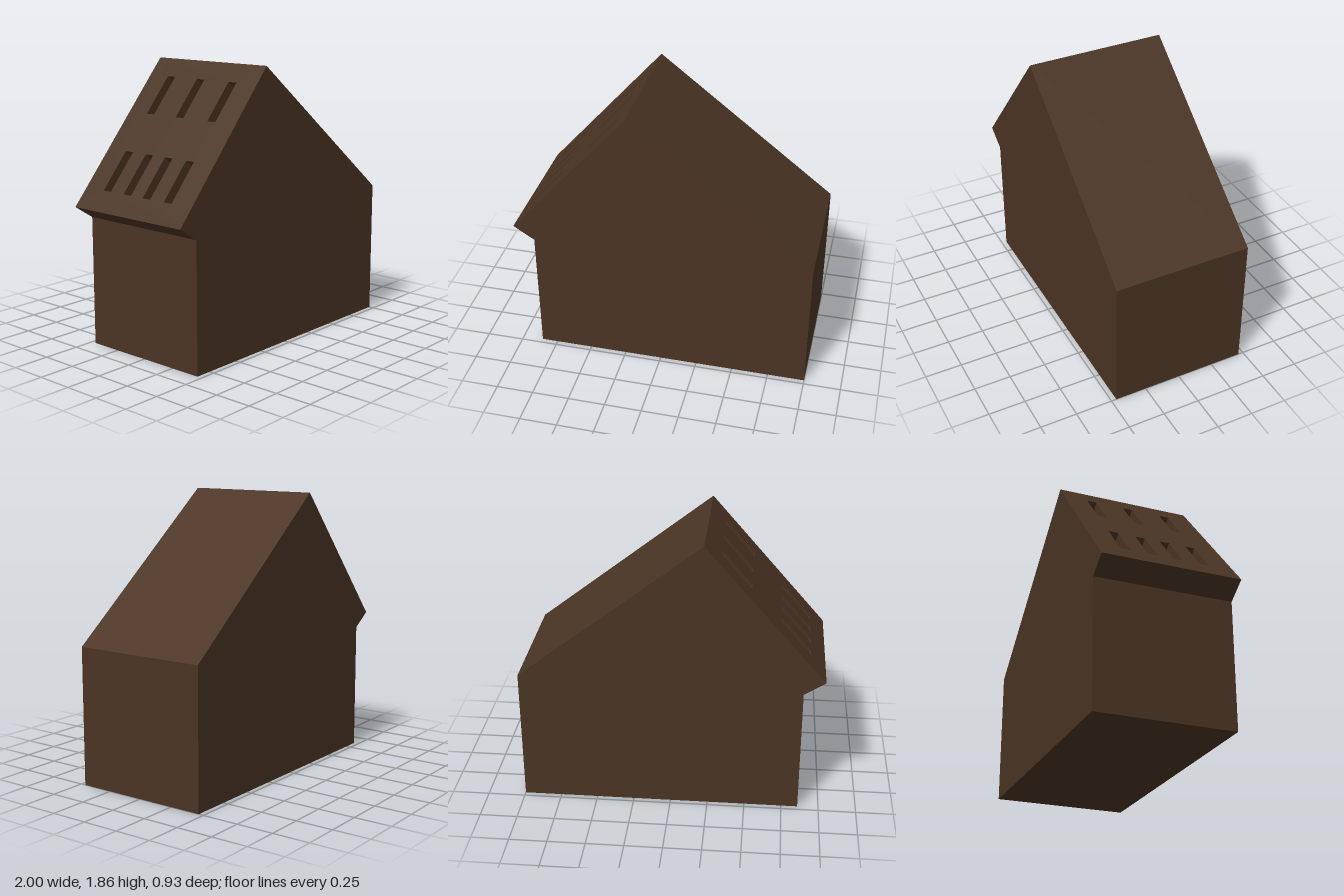
import * as THREE from 'three';

const D = 0.465; // half depth
const SLOT_LENGTH = 0.304, SLOT_WIDTH = 0.066, SLOT_DEPTH = 0.9;

// House-shaped outline, counter-clockwise; the edge from RIDGE carries the slots
const OUTLINE = [[-0.86, 0], [1, 0], [1, 0.915], [-0.21, 1.86], [-1, 0.955], [-0.86, 0.865]];
const RIDGE = 3;

// Slot rows: start distance down the slope, and slot centres across the depth
const ROWS = [
  { start: 0.145, centres: [-0.27, -0.008, 0.265] },
  { start: 0.745, centres: [-0.27, -0.087, 0.083, 0.265] },
];

const rectPoints = (x0, x1, y0, y1) =>
  [[x0, y0], [x1, y0], [x1, y1], [x0, y1]].map(p => new THREE.Vector2(...p));

export function createModel() {
  const model = new THREE.Group();
  const wood = new THREE.MeshStandardMaterial({ color: 0x4a3423 });
  const slotWood = new THREE.MeshStandardMaterial({ color: 0x4a3423, side: THREE.DoubleSide });
  const add = (parent, name, geometry, material = wood) => {
    const mesh = new THREE.Mesh(geometry, material);
    mesh.name = name;
    parent.add(mesh);
    return mesh;
  };

  // Front and back faces
  const outline = OUTLINE.map(p => new THREE.Vector2(...p));
  add(model, 'frontFace', new THREE.ShapeGeometry(new THREE.Shape(outline))).position.z = D;
  const mirrored = outline.map(p => new THREE.Vector2(-p.x, p.y)).reverse();
  const back = add(model, 'backFace', new THREE.ShapeGeometry(new THREE.Shape(mirrored)));
  back.rotation.y = Math.PI;
  back.position.z = -D;

  // One panel per outline edge: local x along the edge, local y along the depth
  const names = ['base', 'leftWall', 'longSlope', 'slottedSlope', 'overhang', 'rightWall'];
  outline.forEach((a, i) => {
    const b = outline[(i + 1) % outline.length];
    const length = a.distanceTo(b);
    const along = new THREE.Vector3(b.x - a.x, b.y - a.y, 0).normalize();
    const normal = new THREE.Vector3(along.y, -along.x, 0);
    const panel = new THREE.Group();
    panel.name = names[i];
    panel.quaternion.setFromRotationMatrix(
      new THREE.Matrix4().makeBasis(along, new THREE.Vector3(0, 0, 1), normal));
    panel.position.set(a.x, a.y, 0);
    model.add(panel);

    const shape = new THREE.Shape(rectPoints(0, length, -D, D));
    if (i === RIDGE) {
      for (const { start, centres } of ROWS) for (const c of centres) {
        shape.holes.push(new THREE.Path(rectPoints(
          start, start + SLOT_LENGTH, c - SLOT_WIDTH / 2, c + SLOT_WIDTH / 2)));
        // Slot lining: a box without its outer lid
        const box = new THREE.BoxGeometry(SLOT_LENGTH, SLOT_WIDTH, SLOT_DEPTH);
        box.setIndex([...box.index.array].filter((_, k) => k < 24 || k >= 30));
        box.clearGroups();
        add(panel, 'knifeSlot', box, slotWood)
          .position.set(start + SLOT_LENGTH / 2, c, -SLOT_DEPTH / 2);
      }
    }
    add(panel, names[i] + 'Panel', new THREE.ShapeGeometry(shape));
  });

  return model;
}
